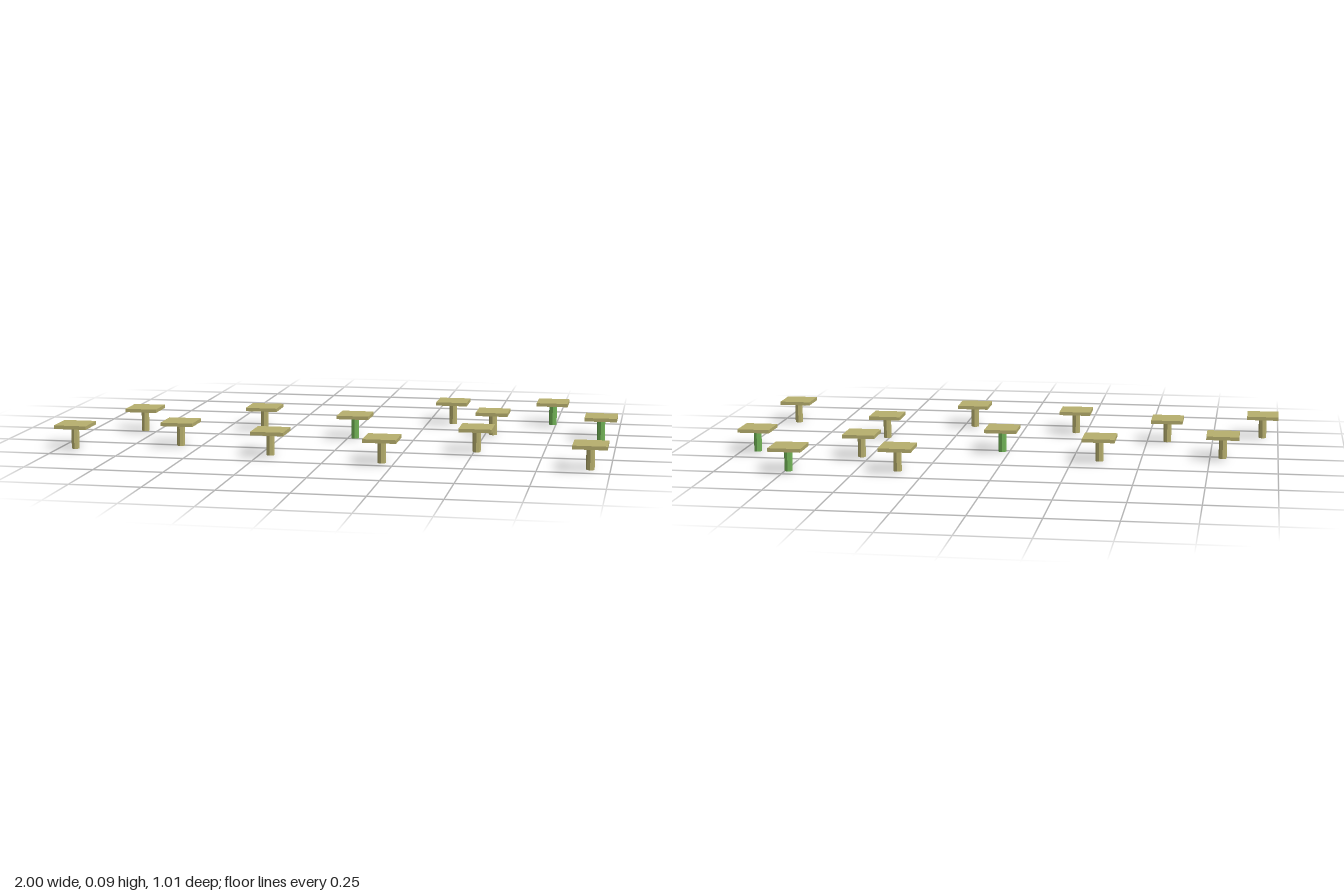
import * as THREE from 'three';

// Small square tables scattered on the ground: [x, z, has a green leg]
const TABLES = [
  [-0.94, 0.382], [-0.797, -0.019], [-0.577, 0.255], [-0.35, -0.126],
  [-0.21, 0.376], [0.027, -0.013, true], [0.206, 0.445], [0.35, -0.393],
  [0.509, 0.178], [0.53, -0.179], [0.738, -0.445, true], [0.94, -0.135, true],
  [0.931, 0.432],
];
const LEG_HEIGHT = 0.08;
const TOP_SIZE = 0.12;
const TOP_THICKNESS = 0.013;

export function createModel() {
  const model = new THREE.Group();
  model.name = 'tables';

  const tan = new THREE.MeshStandardMaterial({ color: 0xb8b06e, flatShading: true });
  const green = new THREE.MeshStandardMaterial({ color: 0x72b557, flatShading: true });
  const legGeometry = new THREE.CylinderGeometry(0.015, 0.015, LEG_HEIGHT, 8);
  const topGeometry = new THREE.BoxGeometry(TOP_SIZE, TOP_THICKNESS, TOP_SIZE);

  TABLES.forEach(([x, z, greenLeg], i) => {
    const table = new THREE.Group();
    table.name = `table${i + 1}`;
    table.position.set(x, 0, z);

    // Central post
    const leg = new THREE.Mesh(legGeometry, greenLeg ? green : tan);
    leg.name = 'leg';
    leg.position.y = LEG_HEIGHT / 2;

    // Square slab
    const top = new THREE.Mesh(topGeometry, tan);
    top.name = 'tableTop';
    top.position.y = LEG_HEIGHT + TOP_THICKNESS / 2;

    table.add(leg, top);
    model.add(table);
  });
  return model;
}
